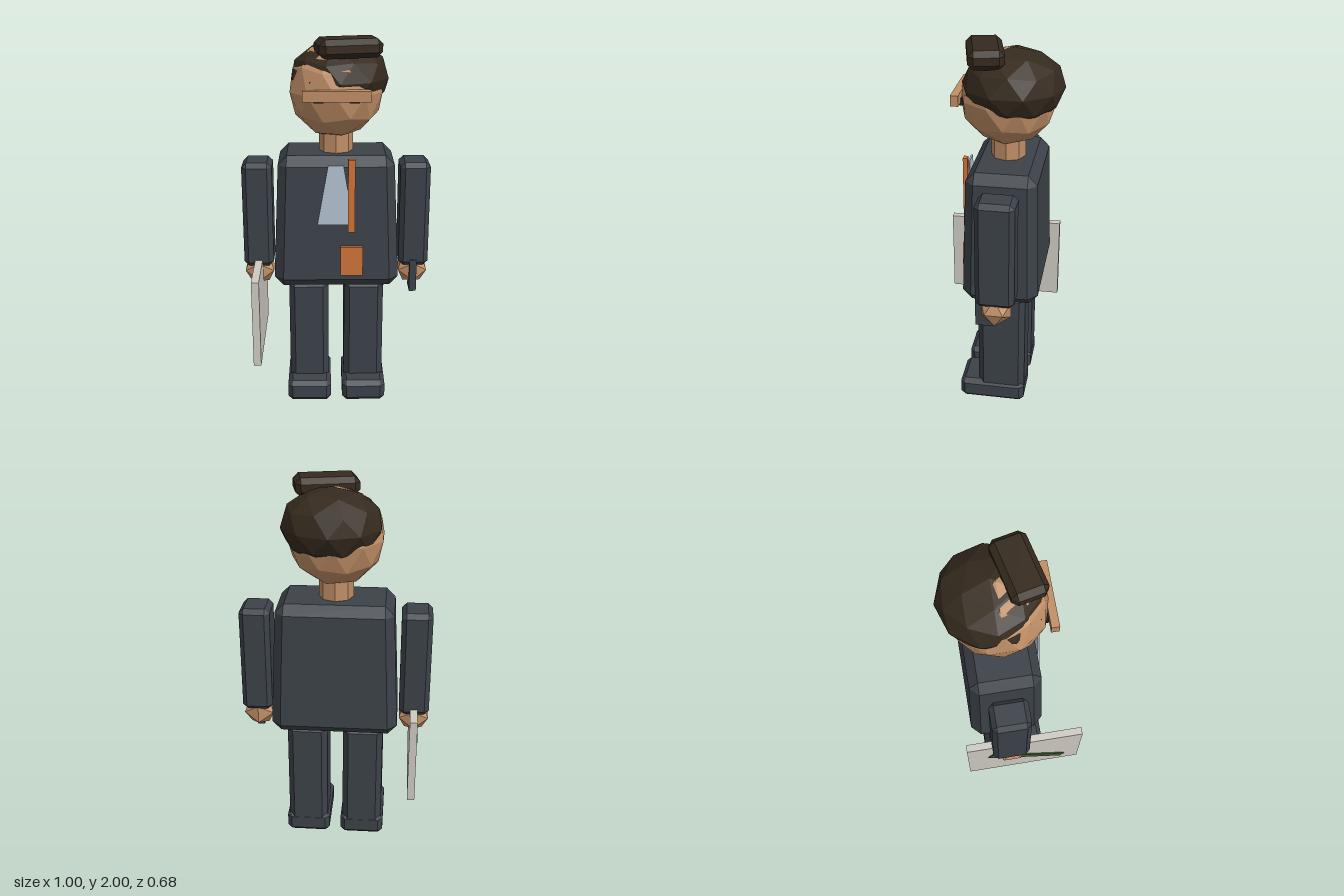
import * as THREE from 'three';
import { ConvexGeometry } from 'three/addons/geometries/ConvexGeometry.js';

const mat = (name, color) => {
  const m = new THREE.MeshStandardMaterial({ color, flatShading: true });
  m.name = name;
  return m;
};

// Box with every edge chamfered by c; top scales the upper end for a taper
function chamferBox(w, h, d, c, top = 1) {
  const pts = [];
  for (const sx of [-1, 1]) for (const sy of [-1, 1]) for (const sz of [-1, 1]) {
    for (const [a, b, e] of [[0, c, c], [c, 0, c], [c, c, 0]]) {
      const y = sy * (h / 2 - b);
      const s = 1 + (top - 1) * (y / h + 0.5);
      pts.push(new THREE.Vector3(sx * (w / 2 - a) * s, y, sz * (d / 2 - e) * s));
    }
  }
  return new ConvexGeometry(pts);
}

// Faceted ball with a corner at each pole
function facetBall(rx, ry, rz) {
  return new THREE.IcosahedronGeometry(1, 1)
    .rotateX(-Math.atan((1 + Math.sqrt(5)) / 2))
    .rotateY(-Math.PI / 2)
    .scale(rx, ry, rz);
}

export function createModel() {
  const group = new THREE.Group();
  const suit = mat('charcoal suit', 0x3c4249);
  const skin = mat('skin', 0xc08f66);
  const hairMat = mat('dark brown hair', 0x352a1e);
  const orange = mat('orange', 0xcf7438);
  const shirtMat = mat('pale blue shirt', 0xb4c4d2);
  const paper = mat('off-white board', 0xcfcbc2);
  const green = mat('dark green', 0x3a5a2c);
  const eyeMat = mat('eye dark', 0x24201d);

  const add = (name, geo, material, x, y, z) => {
    const mesh = new THREE.Mesh(geo, material);
    mesh.name = name;
    mesh.position.set(x, y, z);
    group.add(mesh);
    return mesh;
  };
  const box = (w, h, d) => new THREE.BoxGeometry(w, h, d);

  // Body
  add('jacket', chamferBox(0.67, 0.72, 0.4, 0.05, 0.9), suit, 0, 1.04, -0.058);
  add('neck', new THREE.CylinderGeometry(0.09, 0.09, 0.16, 8), skin, 0, 1.45, -0.055);

  // Limbs, mirrored
  for (const [side, s] of [['left', 1], ['right', -1]]) {
    add(side + 'Leg', chamferBox(0.215, 0.64, 0.255, 0.03), suit, s * 0.15, 0.365, -0.057);
    add(side + 'Shoe', chamferBox(0.238, 0.12, 0.357, 0.025), suit, s * 0.15, 0.06, -0.007);
    add(side + 'Arm', chamferBox(0.16, 0.58, 0.2, 0.025), suit, s * 0.42, 1.053, -0.06);
    add(side + 'Hand', new THREE.IcosahedronGeometry(0.092, 0), skin, s * 0.42, 0.722, -0.057);
    add(side + 'Eye', box(0.05, 0.035, 0.02), eyeMat, s * 0.09, 1.71, 0.165);
  }

  // Head and hair
  add('head', facetBall(0.25, 0.25, 0.25), skin, 0, 1.72, -0.055);
  add('hair', facetBall(0.261, 0.187, 0.261), hairMat, 0.02, 1.785, -0.081);
  const tuft = add('hairTuft', chamferBox(0.325, 0.095, 0.18, 0.028), hairMat, 0.06, 1.952, 0.055);
  tuft.rotation.y = 0.22;
  add('browBar', box(0.34, 0.055, 0.04), skin, 0, 1.733, 0.19);

  // Shirt front
  const shirt = new THREE.Shape([
    new THREE.Vector2(-0.1, 1.045), new THREE.Vector2(0.09, 1.045),
    new THREE.Vector2(0.037, 1.365), new THREE.Vector2(-0.043, 1.365),
  ]);
  add('shirt', new THREE.ExtrudeGeometry(shirt, { depth: 0.009, bevelEnabled: false }), shirtMat, 0, 0, 0.142);

  // Orange strap and badge
  add('strap', box(0.036, 0.39, 0.024), orange, 0.078, 1.205, 0.156);
  add('badge', box(0.118, 0.16, 0.024), orange, 0.08, 0.845, 0.156);

  // Things held in the hands
  add('handset', box(0.038, 0.18, 0.1), suit, 0.419, 0.71, -0.003);
  add('board', box(0.04, 0.477, 0.64), paper, -0.42, 0.563, 0.02);
  const strip = add('boardStripe', box(0.007, 0.05, 0.47), green, -0.443, 0.53, 0.035);
  strip.rotation.x = 0.47;

  return group;
}
